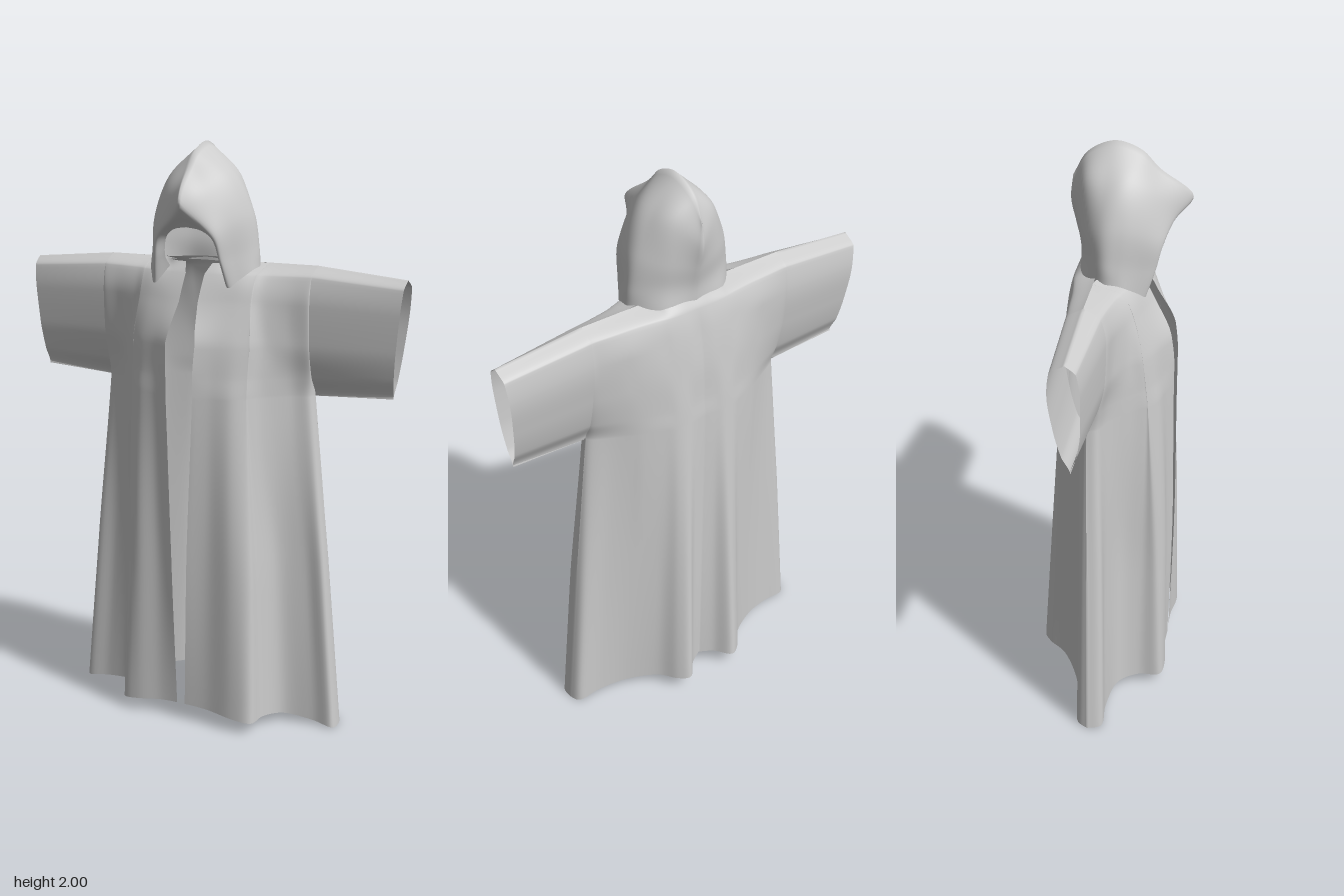
import * as THREE from 'three';
import { mergeGeometries, mergeVertices } from 'three/addons/utils/BufferGeometryUtils.js';

const cloth = new THREE.MeshStandardMaterial({ color: 0xcccccc, roughness: 0.9, side: THREE.DoubleSide });
const lerp = THREE.MathUtils.lerp;

// Cross-sections of the robe, from hem to shoulder: height, front edge x, side x
const ROWS = [
  [0, 0.015, 0.508], [0.6, 0.03, 0.452], [1.17, 0.05, 0.392], [1.24, 0.05, 0.39],
  [1.35, 0.055, 0.39], [1.48, 0.035, 0.39], [1.57, 0.035, 0.39], [1.605, 0.05, 0.39],
];
const LAST = ROWS.length - 1;
// Depth of the cloth at nine stations from the middle to the side
const FRONT = {
  stations: [0, 0.16, 0.35, 0.48, 0.5, 0.6, 0.81, 0.97, 1],
  z: [
    [0.205, 0.203, 0.215, 0.2, 0.125, 0.055, 0.03, 0.03, -0.02],
    [0.215, 0.2, 0.205, 0.18, 0.13, 0.06, 0.025, 0.02, -0.025],
    [0.21, 0.19, 0.175, 0.147, 0.138, 0.09, 0.03, 0.005, -0.03],
    [0.21, 0.185, 0.165, 0.14, 0.132, 0.09, 0.035, 0.015, 0.005],
    [0.2, 0.175, 0.15, 0.127, 0.122, 0.085, 0.05, 0.035, 0.03],
    [0.14, 0.13, 0.115, 0.1, 0.095, 0.075, 0.05, 0.04, 0.035],
    [0.09, 0.085, 0.075, 0.06, 0.058, 0.045, 0.03, 0.022, 0.02],
    [0.06, 0.045, -0.02, -0.035, -0.035, -0.035, -0.035, -0.035, -0.035],
  ],
};
const BACK = {
  stations: [0, 0.1, 0.19, 0.28, 0.38, 0.58, 0.78, 0.95, 1],
  z: [
    [-0.17, -0.2, -0.25, -0.225, -0.16, -0.1, -0.07, -0.06, -0.02],
    [-0.165, -0.18, -0.21, -0.195, -0.155, -0.11, -0.075, -0.055, -0.025],
    [-0.16, -0.165, -0.17, -0.167, -0.155, -0.125, -0.085, -0.05, -0.03],
    [-0.155, -0.16, -0.165, -0.162, -0.15, -0.125, -0.095, -0.07, -0.06],
    [-0.15, -0.155, -0.155, -0.152, -0.145, -0.125, -0.105, -0.09, -0.085],
    [-0.135, -0.14, -0.14, -0.137, -0.13, -0.12, -0.11, -0.1, -0.1],
    [-0.12, -0.12, -0.12, -0.117, -0.11, -0.1, -0.095, -0.09, -0.09],
    [-0.1, -0.1, -0.095, -0.08, -0.04, -0.035, -0.035, -0.035, -0.035],
  ],
};

// Surface from a rule (u, v) -> Vector3; mirror is 1 for the left half, -1 for the right
function surface(rule, nu, nv, mirror, flip) {
  const pos = [], index = [];
  for (let j = 0; j <= nv; j++) {
    for (let i = 0; i <= nu; i++) {
      const p = rule(i / nu, j / nv);
      pos.push(p.x * mirror, p.y, p.z);
    }
  }
  for (let j = 0; j < nv; j++) {
    for (let i = 0; i < nu; i++) {
      const a = j * (nu + 1) + i, b = a + 1, c = a + nu + 1, d = c + 1;
      if (flip) index.push(a, d, b, a, c, d);
      else index.push(a, b, d, a, d, c);
    }
  }
  const geo = new THREE.BufferGeometry();
  geo.setAttribute('position', new THREE.Float32BufferAttribute(pos, 3));
  geo.setIndex(index);
  return geo;
}

function clothMesh(name, geometries) {
  const geo = mergeVertices(mergeGeometries(geometries), 1e-4);
  geo.computeVertexNormals();
  const mesh = new THREE.Mesh(geo, cloth);
  mesh.name = name;
  return mesh;
}

// Smooth curve through each cross-section of a panel: x holds the station, y the depth
for (const panel of [FRONT, BACK]) {
  panel.curves = panel.z.map((row) =>
    new THREE.SplineCurve(row.map((z, i) => new THREE.Vector2(panel.stations[i], z))));
}

// Point of a panel: s from the middle to the side, t counts rows upwards
function panelPoint(panel, s, t) {
  const r = Math.min(Math.floor(t), LAST - 1), k = t - r;
  const [y, edge, side] = ROWS[r].map((v, i) => lerp(v, ROWS[r + 1][i], k));

  // Depth is blended smoothly between the rows, without overshooting
  const depth = (i) => panel.curves[i].getPoint(s).y;
  const rise = (i) => (depth(i + 1) - depth(i)) / (ROWS[i + 1][0] - ROWS[i][0]);
  const slope = (i) => {
    const a = rise(Math.max(i - 1, 0)), b = rise(Math.min(i, LAST - 1));
    return a * b <= 0 ? 0 : (2 * a * b) / (a + b);
  };
  const dy = ROWS[r + 1][0] - ROWS[r][0], k2 = k * k, k3 = k2 * k;
  const z = (2 * k3 - 3 * k2 + 1) * depth(r) + (k3 - 2 * k2 + k) * dy * slope(r)
    + (3 * k2 - 2 * k3) * depth(r + 1) + (k3 - k2) * dy * slope(r + 1);

  const x = lerp(panel === FRONT ? edge : 0, side, panel.curves[r].getPoint(s).x);
  // The hem rises towards the middle
  const lift = (0.065 - 0.06 * Math.pow(Math.max(x, 0) / 0.5, 1.5)) * Math.max(0, 1 - y / 1.17);
  return new THREE.Vector3(x, y + lift, z);
}

// Sleeve: runs from the armhole of the panels to a slanted cuff
function sleevePoint(a, v) {
  const front = a <= 0.5;
  const t = front ? 2 + 10 * a : 12 - 10 * a;
  const p = panelPoint(front ? FRONT : BACK, 1, t);
  const h = (p.y - 1.17) / 0.435;
  const cuff = new THREE.Vector3(
    lerp(0.665, 0.7, h),
    lerp(1.185, 1.577, h),
    -0.035 + (p.z + 0.035) * (front ? 0.6 : 0.88),
  );
  return p.lerp(cuff, v);
}

// Hood guide lines, each from the turned-under brim to the middle of the back
const HOOD = [
  // ridge
  [[0, 1.73, 0.16], [0, 1.82, 0.25], [0, 1.915, 0.145], [0, 1.975, 0.085], [0, 2, 0], [0, 1.96, -0.085], [0, 1.88, -0.133]],
  // upper side
  [[0.05, 1.72, 0.15], [0.042, 1.77, 0.2], [0.08, 1.85, 0.135], [0.108, 1.89, 0.06], [0.11, 1.89, -0.01], [0.08, 1.88, -0.085], [0, 1.8, -0.141]],
  // cheek
  [[0.085, 1.69, 0.135], [0.105, 1.7, 0.17], [0.137, 1.74, 0.12], [0.165, 1.77, 0.05], [0.165, 1.77, -0.02], [0.105, 1.75, -0.088], [0, 1.72, -0.125]],
  // jaw
  [[0.1, 1.63, 0.115], [0.122, 1.62, 0.15], [0.152, 1.63, 0.105], [0.185, 1.65, 0.04], [0.184, 1.66, -0.02], [0.11, 1.66, -0.083], [0, 1.65, -0.11]],
  // neckline
  [[0.1, 1.59, 0.08], [0.135, 1.535, 0.122], [0.165, 1.56, 0.09], [0.193, 1.59, 0.04], [0.188, 1.595, -0.02], [0.114, 1.592, -0.09], [0, 1.59, -0.106]],
].map((line) => new THREE.CatmullRomCurve3(line.map((p) => new THREE.Vector3(...p)), false, 'catmullrom'));

function hoodPoint(u, v) {
  return new THREE.CatmullRomCurve3(HOOD.map((line) => line.getPoint(v)), false, 'catmullrom').getPoint(u);
}

export function createModel() {
  const model = new THREE.Group();
  model.name = 'hoodedRobe';
  const body = [], hood = [];

  for (const m of [1, -1]) {
    // The folds swing slightly to the left towards the hem
    const frontPoint = (u, v) => {
      const p = panelPoint(FRONT, u, v * LAST);
      p.x += m * 0.02 * Math.sin(Math.PI * u) * THREE.MathUtils.clamp((1.17 - p.y) / 0.6, 0, 1);
      return p;
    };
    const backPoint = (u, v) => {
      const p = panelPoint(BACK, u, v * LAST);
      p.x += m * 0.022 * (1 - u * u) * Math.max(0, 1 - p.y / 1.17);
      return p;
    };
    body.push(surface(frontPoint, 48, 56, m, m < 0));
    body.push(surface(backPoint, 48, 56, m, m > 0));
    hood.push(surface(hoodPoint, 28, 48, m, m < 0));
    model.add(clothMesh(m > 0 ? 'leftSleeve' : 'rightSleeve',
      [surface(sleevePoint, 80, 12, m, m > 0)]));
  }

  const hoodMesh = clothMesh('hood', hood);
  // The brim tip droops slightly to the left
  const pos = hoodMesh.geometry.attributes.position;
  for (let i = 0; i < pos.count; i++) {
    const k = Math.max(0, pos.getZ(i) - 0.1) / 0.15;
    pos.setX(i, pos.getX(i) + 0.025 * k * k);
  }
  hoodMesh.geometry.computeVertexNormals();

  model.add(clothMesh('robeBody', body), hoodMesh);
  return model;
}
